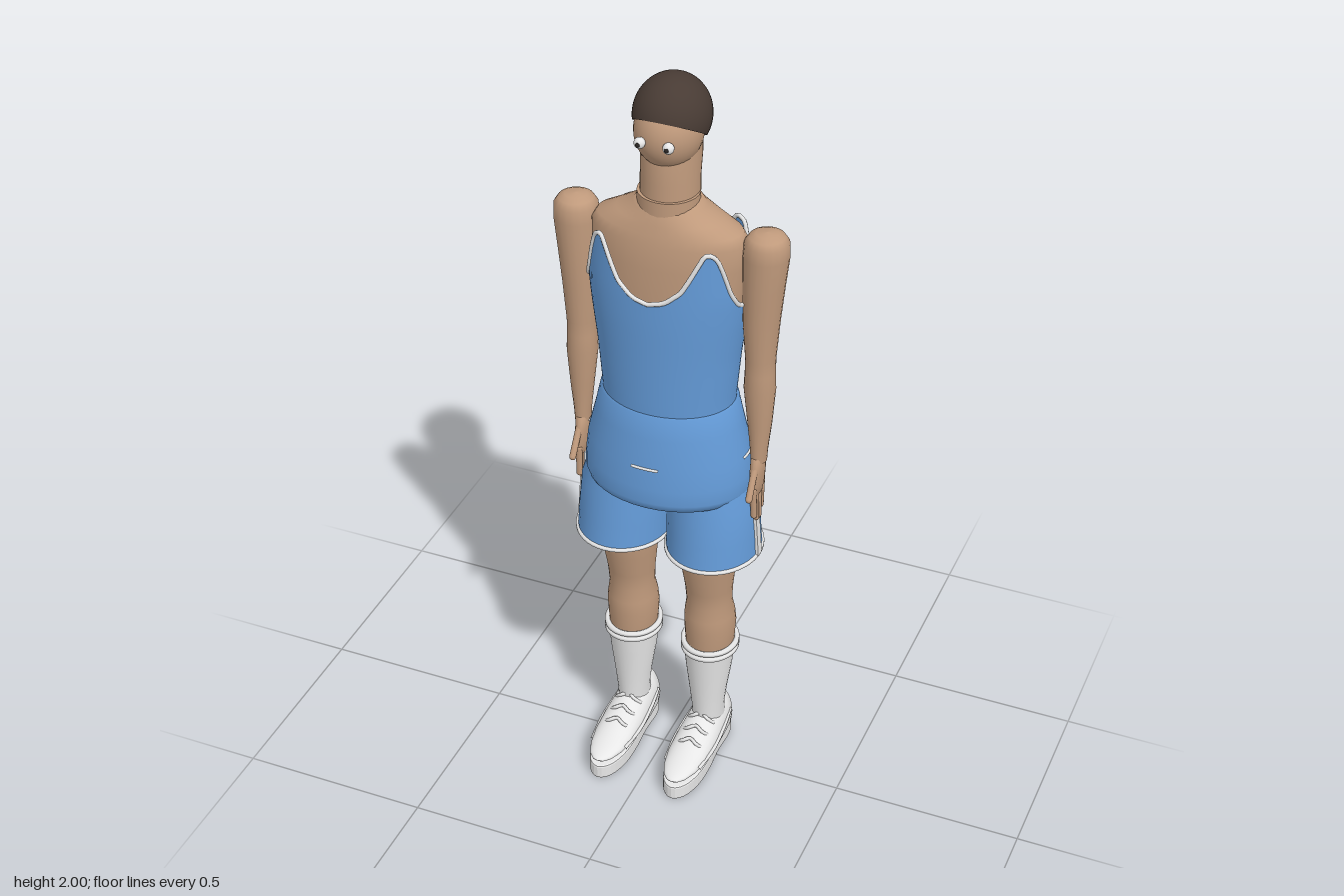
import * as THREE from 'three';

const mat = (name, color, side = THREE.FrontSide) => {
  const m = new THREE.MeshStandardMaterial({ color, side });
  m.name = name;
  return m;
};

// Smooth skin through elliptical sections [y, cx, cz, rx, rz], listed from bottom to top
function loft(sections, segs = 28) {
  const pos = [], idx = [];
  sections.forEach(([y, cx, cz, rx, rz], i) => {
    for (let j = 0; j < segs; j++) {
      const a = (j / segs) * Math.PI * 2;
      pos.push(cx + rx * Math.cos(a), y, cz + rz * Math.sin(a));
      if (i === sections.length - 1) continue;
      const p = i * segs + j, q = i * segs + ((j + 1) % segs);
      idx.push(p, p + segs, q, q, p + segs, q + segs);
    }
  });
  const g = new THREE.BufferGeometry();
  g.setAttribute('position', new THREE.Float32BufferAttribute(pos, 3));
  g.setIndex(idx);
  g.computeVertexNormals();
  return g;
}

const V = (x, y, z) => new THREE.Vector3(x, y, z);
const tube = (pts, r, closed = false, n = 24) =>
  new THREE.TubeGeometry(new THREE.CatmullRomCurve3(pts, closed), n, r, 6, closed);

// Piping along part of an ellipse at height y
function arc(y, cx, cz, rx, rz, a0, a1, r) {
  const closed = a1 - a0 > 6.2, n = closed ? 24 : 6, pts = [];
  for (let i = 0; i < (closed ? n : n + 1); i++) {
    const a = a0 + ((a1 - a0) * i) / n;
    pts.push(V(cx + rx * Math.cos(a), y, cz + rz * Math.sin(a)));
  }
  return tube(pts, r, closed, closed ? 48 : 10);
}

// Rounded rod between two points
function rod(a, b, r) {
  const d = b.clone().sub(a), g = new THREE.CapsuleGeometry(r, d.length(), 4, 10);
  g.applyQuaternion(new THREE.Quaternion().setFromUnitVectors(V(0, 1, 0), d.clone().normalize()));
  return g.translate(...a.clone().add(b).multiplyScalar(0.5).toArray());
}

// Linear lookup in a table of [key, value, ...]
function lookup(table, k, col = 1) {
  let i = 1;
  while (i < table.length - 1 && table[i][0] < k) i++;
  const [a, b] = [table[i - 1], table[i]];
  const t = THREE.MathUtils.clamp((k - a[0]) / (b[0] - a[0]), 0, 1);
  return a[col] + (b[col] - a[col]) * t;
}

export function createModel() {
  const root = new THREE.Group();
  root.name = 'basketballPlayer';
  const skin = mat('skin', 0xc09a7c);
  const cloth = mat('blue cloth', 0x649bd8, THREE.DoubleSide);
  const white = mat('white', 0xe9e9e9);
  const hair = mat('dark brown hair', 0x483b34, THREE.DoubleSide);
  const dark = mat('dark pupil', 0x2a2624);
  const add = (name, geo, m, parent = root) => {
    const mesh = new THREE.Mesh(geo, m);
    mesh.name = name;
    parent.add(mesh);
    return mesh;
  };
  const CZ = -0.035;

  // Head, hair, neck and upper body
  add('head', new THREE.SphereGeometry(1, 32, 24).scale(0.083, 0.095, 0.092).translate(0, 1.872, -0.03), skin);
  add('hair', new THREE.SphereGeometry(1, 36, 24, 0, Math.PI * 2, 0, 1.91).rotateX(-0.57)
    .scale(0.094, 0.1, 0.102).translate(0, 1.9, -0.05), hair);
  add('neck', loft([[1.6, 0, -0.035, 0.073, 0.074], [1.75, 0, -0.039, 0.072, 0.078],
    [1.8, 0, -0.045, 0.073, 0.08], [1.87, 0, -0.05, 0.073, 0.08]]), skin);
  add('neckBase', new THREE.CylinderGeometry(1, 1, 0.11, 28).scale(0.077, 1, 0.074).translate(0, 1.655, -0.028), skin);
  add('torso', loft([[1.1, 0, CZ, 0.14, 0.1], [1.4, 0, CZ, 0.185, 0.108], [1.54, 0, CZ, 0.2, 0.108],
    [1.6, 0, CZ, 0.2, 0.1], [1.625, 0, CZ, 0.185, 0.094], [1.65, 0, CZ, 0.135, 0.088],
    [1.675, 0, CZ, 0.09, 0.08], [1.7, 0, CZ, 0.072, 0.068], [1.7, 0, CZ, 0, 0]], 36), skin);

  // Tank top: one wall whose upper edge follows the neckline and armholes
  const body = [[1.04, 0.168, 0.13], [1.15, 0.172, 0.135], [1.28, 0.184, 0.138], [1.4, 0.2, 0.141], [1.47, 0.207, 0.141], [1.62, 0.205, 0.138]];
  const frontEdge = [[0, 1.465], [0.2, 1.475], [0.4, 1.51], [0.55, 1.57], [0.64, 1.608], [0.74, 1.608],
    [0.82, 1.56], [0.9, 1.485], [0.96, 1.452], [1, 1.445]];
  const backEdge = [[0, 1.535], [0.3, 1.545], [0.55, 1.585], [0.66, 1.612], [0.76, 1.605],
    [0.84, 1.55], [0.91, 1.48], [0.96, 1.452], [1, 1.445]];
  const topAt = (a) => lookup(Math.sin(a) > 0 ? frontEdge : backEdge, Math.abs(Math.cos(a)));
  const bodyPoint = (a, y) =>
    V(lookup(body, y, 1) * Math.cos(a), y, CZ + lookup(body, y, 2) * Math.sin(a));
  const segs = 80, rows = 16;
  const tank = loft(Array.from({ length: rows + 1 }, (_, i) => [i / rows, 0, 0, 1, 1]), segs);
  const p = tank.attributes.position;
  for (let i = 0; i < p.count; i++) {
    const a = ((i % segs) / segs) * Math.PI * 2;
    const v = bodyPoint(a, THREE.MathUtils.lerp(1.04, topAt(a), p.getY(i)));
    p.setXYZ(i, v.x, v.y, v.z);
  }
  tank.computeVertexNormals();
  add('tankTop', tank, cloth);
  const edge = Array.from({ length: segs }, (_, j) => {
    const a = (j / segs) * Math.PI * 2;
    return bodyPoint(a, topAt(a));
  });
  add('tankTopTrim', tube(edge, 0.006, true, 160), white);

  // Loose lower part of the outfit around the hips
  add('hipCloth', loft([[0.87, 0, CZ, 0, 0], [0.871, 0, CZ, 0.19, 0.145], [0.88, 0, CZ, 0.213, 0.164],
    [0.9, 0, CZ, 0.22, 0.17], [0.94, 0, CZ, 0.219, 0.168], [1.0, 0, CZ, 0.212, 0.163],
    [1.08, 0, CZ, 0.192, 0.152], [1.14, 0, CZ, 0.179, 0.141], [1.145, 0, CZ, 0.165, 0.128]], 40), cloth);
  for (let k = 0; k < 4; k++) {
    const a = (k * Math.PI) / 2;
    add('hipMark', arc(0.998, 0, CZ, 0.212, 0.163, a - 0.17, a + 0.17, 0.004), white);
  }

  for (const s of [1, -1]) {
    const side = new THREE.Group();
    side.name = s > 0 ? 'leftSide' : 'rightSide';
    root.add(side);
    const put = (name, geo, m) => add(name, geo, m, side);

    // Eye
    put('eye', new THREE.SphereGeometry(0.014, 16, 12).translate(s * 0.036, 1.87, 0.062), white);
    put('pupil', new THREE.SphereGeometry(0.006, 10, 8).scale(1, 1, 0.5).translate(s * 0.036, 1.87, 0.075), dark);

    // Arm and hand
    const arm = [[0.985, 0.24, 0.02, 0.026], [1.02, 0.24, 0.022, 0.028], [1.1, 0.24, 0.031, 0.032],
      [1.2, 0.238, 0.04, 0.041], [1.25, 0.238, 0.038, 0.039], [1.29, 0.238, 0.038, 0.04], [1.4, 0.238, 0.046, 0.05],
      [1.5, 0.242, 0.052, 0.055], [1.58, 0.246, 0.057, 0.058], [1.615, 0.247, 0.055, 0.056],
      [1.632, 0.247, 0.044, 0.045], [1.64, 0.247, 0.028, 0.028], [1.643, 0.247, 0, 0]];
    put('arm', loft(arm.map(([y, x, rx, rz]) => [y, s * x, -0.038, rx, rz]), 20), skin);
    const palm = [[0.885, 0, 0], [0.89, 0.01, 0.028], [0.92, 0.014, 0.038], [0.96, 0.017, 0.037], [1.0, 0.017, 0.026], [1.01, 0, 0]];
    put('palm', loft(palm.map(([y, rx, rz]) => [y, s * 0.239, -0.035, rx, rz]), 16), skin);
    [0.835, 0.812, 0.815, 0.83].forEach((y, i) =>
      put('finger', rod(V(s * 0.239, 0.91, -0.065 + i * 0.02), V(s * 0.241, y, -0.055 + i * 0.015), 0.0085), skin));
    put('thumb', rod(V(s * 0.24, 0.97, -0.01), V(s * 0.241, 0.905, 0.03), 0.009), skin);

    // Shorts leg with hem and side stripe
    put('shortsLeg', loft([[0.69, s * 0.124, -0.037, 0.122, 0.137], [0.76, s * 0.122, -0.037, 0.12, 0.13],
      [0.85, s * 0.118, -0.036, 0.116, 0.12], [0.95, s * 0.108, -0.035, 0.095, 0.105]], 36), cloth);
    put('shortsHem', arc(0.694, s * 0.124, -0.037, 0.122, 0.137, 0, Math.PI * 2, 0.006), white);
    put('shortsStripe', new THREE.BoxGeometry(0.009, 0.2, 0.024).rotateZ(s * 0.068)
      .translate(s * 0.241, 0.793, -0.032), white);

    // Leg and sock
    const leg = [[0.3, -0.05, 0.05, 0.06], [0.36, -0.053, 0.064, 0.07], [0.42, -0.053, 0.068, 0.074],
      [0.46, -0.049, 0.066, 0.07], [0.5, -0.045, 0.06, 0.061], [0.55, -0.041, 0.063, 0.063],
      [0.62, -0.035, 0.071, 0.074], [0.7, -0.032, 0.078, 0.083], [0.92, -0.032, 0.085, 0.09]];
    put('leg', loft(leg.map(([y, z, rx, rz]) => [y, s * 0.11, z, rx, rz])), skin);
    const sock = [[0.09, -0.055, 0.042, 0.055], [0.14, -0.047, 0.043, 0.05], [0.2, -0.046, 0.05, 0.054],
      [0.28, -0.05, 0.061, 0.067], [0.33, -0.052, 0.066, 0.074], [0.36, -0.053, 0.07, 0.078], [0.362, -0.053, 0.06, 0.066]];
    put('sock', loft(sock.map(([y, z, rx, rz]) => [y, s * 0.109, z, rx, rz])), white);
    for (const y of [0.343, 0.36])
      put('sockBand', arc(y, s * 0.11, -0.053, 0.07, 0.077, 0, Math.PI * 2, 0.008), white);

    // Shoe: upper skinned along its length as [z, half width, top], flattened underneath
    const fx = s * 0.107;
    const shoe = [[-0.138, 0, 0.075], [-0.135, 0.03, 0.12], [-0.12, 0.045, 0.142], [-0.09, 0.052, 0.145],
      [-0.04, 0.054, 0.135], [0.03, 0.057, 0.112], [0.1, 0.054, 0.09], [0.15, 0.045, 0.079],
      [0.185, 0.031, 0.072], [0.202, 0.016, 0.066], [0.208, 0, 0.06]];
    const upper = loft(shoe.map(([z, w, top]) => [z, fx, -0.06, w, top - 0.06])).rotateX(Math.PI / 2);
    const u = upper.attributes.position;
    for (let i = 0; i < u.count; i++) u.setY(i, Math.max(u.getY(i), 0.042));
    upper.computeVertexNormals();
    put('shoeUpper', upper, white);
    const half = [[0, -0.126], [0.034, -0.12], [0.045, -0.09], [0.043, -0.02], [0.048, 0.06],
      [0.045, 0.13], [0.028, 0.185], [0, 0.206]];
    const outline = [...half, ...half.slice(1, -1).reverse().map(([x, y]) => [-x, y])]
      .map(([x, y]) => new THREE.Vector2(x, y));
    const loop = new THREE.SplineCurve([...outline, outline[0]]).getPoints(44).slice(0, -1);
    put('shoeSole', new THREE.ExtrudeGeometry(new THREE.Shape(loop), { depth: 0.03, bevelThickness: 0.006,
      bevelSize: 0.004, bevelSegments: 2 }).rotateX(Math.PI / 2).translate(fx, 0.036, 0), white);
    for (const z of [-0.005, 0.035, 0.075]) {
      const y = lookup(shoe, z, 2);
      put('lace', tube([V(fx - 0.036, y - 0.018, z), V(fx - 0.018, y, z + 0.008), V(fx, y + 0.006, z),
        V(fx + 0.018, y, z + 0.008), V(fx + 0.036, y - 0.018, z)], 0.005, false, 14), white);
    }
    for (const d of [1, -1])
      put('shoeSideBand', tube([V(fx + d * 0.047, 0.06, 0.135), V(fx + d * 0.056, 0.064, 0.05),
        V(fx + d * 0.053, 0.074, -0.04), V(fx + d * 0.046, 0.085, -0.1)], 0.006, false, 16), white);
  }
  return root;
}
